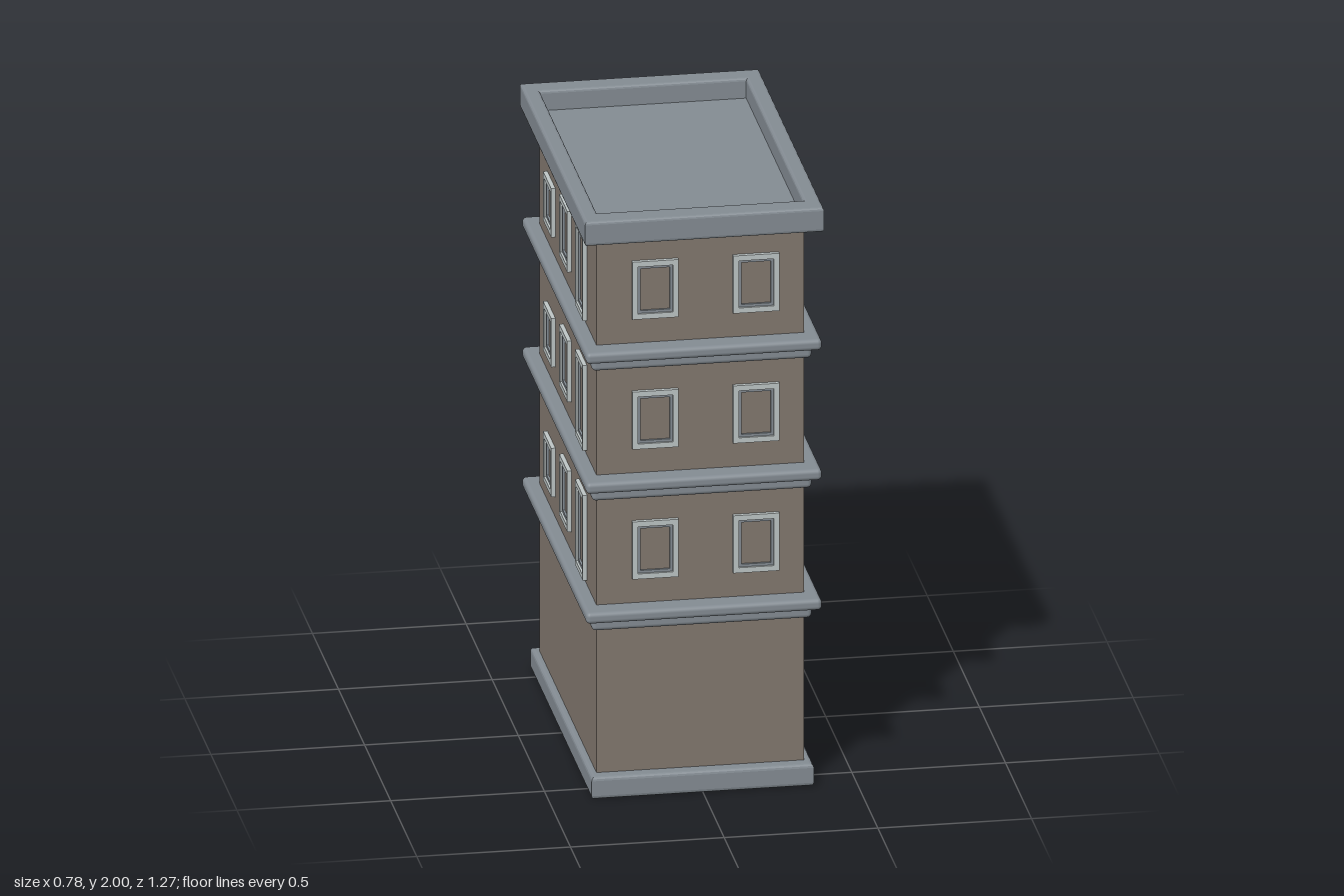
import * as THREE from 'three';
import { RoundedBoxGeometry } from 'three/addons/geometries/RoundedBoxGeometry.js';

const material = (name, color) => {
  const m = new THREE.MeshStandardMaterial({ color });
  m.name = name;
  return m;
};

export function createModel() {
  const wall = material('brown wall', 0x81776e);
  const trim = material('blue grey stone', 0x838b92);
  const frame = material('pale frame', 0xbcc4c4);
  const doorPaint = material('door brown', 0x766b62);
  const knobPaint = material('dark knob', 0x4f4038);

  const model = new THREE.Group();
  model.name = 'building';

  const add = (parent, name, geometry, mat) => {
    const mesh = new THREE.Mesh(geometry, mat);
    mesh.name = name;
    parent.add(mesh);
    return mesh;
  };
  // Box given by its lower and upper bounds, optionally with rounded edges
  const box = (parent, name, mat, x0, x1, y0, y1, z0, z1, r = 0) => {
    const size = [x1 - x0, y1 - y0, z1 - z0];
    const g = r ? new RoundedBoxGeometry(...size, 3, r) : new THREE.BoxGeometry(...size);
    return add(parent, name, g.translate((x0 + x1) / 2, (y0 + y1) / 2, (z0 + z1) / 2), mat);
  };
  const rectangle = (Type, x0, x1, y0, y1) =>
    new Type([[x0, y0], [x1, y0], [x1, y1], [x0, y1]].map((p) => new THREE.Vector2(...p)));
  // Horizontal slab from a plan drawn in x and -z
  const slab = (shape, y0, y1, b) =>
    new THREE.ExtrudeGeometry(shape, {
      depth: y1 - y0 - 2 * b, bevelThickness: b, bevelSize: b, bevelOffset: -b, bevelSegments: 3,
    }).rotateX(-Math.PI / 2).translate(0, y0 + b, 0);

  box(model, 'walls', wall, -0.34, 0.335, 0.01, 1.925, -0.535, 0.555);

  // Plinth, with a notch for the doorway at the back
  const plan = new THREE.Shape([
    [-0.363, -0.6], [0.36, -0.6], [0.36, 0.575], [0.13, 0.575], [0.13, 0.525],
    [-0.12, 0.525], [-0.12, 0.575], [-0.363, 0.575],
  ].map((p) => new THREE.Vector2(...p)));
  add(model, 'plinth', slab(plan, 0, 0.075, 0.012), trim);

  // Two-step ledges between floors
  const floors = [0, 0.447, 0.894];
  for (const dy of floors) {
    box(model, 'lowerLedge', trim, -0.36, 0.355, 0.575 + dy, 0.62 + dy, -0.573, 0.592, 0.014);
    box(model, 'upperLedge', trim, -0.385, 0.382, 0.614 + dy, 0.652 + dy, -0.61, 0.63, 0.014);
  }

  // Flat roof inside a raised rim
  const rim = rectangle(THREE.Shape, -0.39, 0.388, -0.632, 0.62);
  rim.holes.push(rectangle(THREE.Path, -0.337, 0.333, -0.55, 0.54));
  add(model, 'roofRim', slab(rim, 1.917, 2, 0.01), trim);
  box(model, 'roofDeck', trim, -0.345, 0.342, 1.919, 1.932, -0.55, 0.56);

  // Window frame, in a plane facing +z, with optional bars and header
  const makeWindow = (parent, { x, y0, y1, w, d = 0.014, t = 0.018, uprights = [], rails = [], header = 0 }) => {
    const g = new THREE.Group();
    g.name = 'window';
    parent.add(g);
    const a = x - w / 2, b = x + w / 2;
    const outline = rectangle(THREE.Shape, a, b, y0, y1);
    outline.holes.push(rectangle(THREE.Path, a + t, b - t, y0 + t, y1 - t));
    add(g, 'windowFrame', new THREE.ExtrudeGeometry(outline, { depth: d, bevelEnabled: false }), frame);
    // Thin inner sash
    const s = t + 0.009;
    const sash = rectangle(THREE.Shape, a + t, b - t, y0 + t, y1 - t);
    sash.holes.push(rectangle(THREE.Path, a + s, b - s, y0 + s, y1 - s));
    add(g, 'windowSash', new THREE.ExtrudeGeometry(sash, { depth: d * 0.5, bevelEnabled: false }), trim);
    for (const u of uprights) box(g, 'mullion', frame, x + u - 0.006, x + u + 0.006, y0 + t, y1 - t, 0, d * 0.8);
    for (const r of rails) box(g, 'glazingBar', frame, a + t, b - t, r - 0.005, r + 0.005, 0, d * 0.7);
    if (header) box(g, 'windowHeader', frame, a - 0.012, b + 0.012, y1 - 0.006, y1 + header, 0, d + 0.01);
  };
  const side = (name, px, pz, angle) => {
    const g = new THREE.Group();
    g.name = name;
    g.position.set(px, 0, pz);
    g.rotation.y = angle;
    model.add(g);
    return g;
  };
  const front = side('frontWindows', 0, 0.555, 0);
  const back = side('backWindows', 0, -0.535, Math.PI);
  const left = side('leftWindows', 0.335, 0, Math.PI / 2);
  const right = side('rightWindows', -0.34, 0, -Math.PI / 2);

  for (const dy of floors) {
    const y0 = 0.737 + dy, y1 = 0.935 + dy;
    for (const x of [-0.15, 0.178]) {
      makeWindow(front, { x, y0, y1, w: 0.15 });
      makeWindow(back, { x: -x, y0, y1, w: 0.15 });
    }
    // Wide three-pane window between two small cross-barred ones
    makeWindow(left, { x: -0.01, y0: 0.712 + dy, y1: 0.95 + dy, w: 0.285, d: 0.024, uprights: [-0.042, 0.042], header: 0.016 });
    for (const x of [-0.246, 0.228]) {
      makeWindow(left, { x, y0: 0.735 + dy, y1: 0.912 + dy, w: 0.122, d: 0.02, uprights: [0], rails: [0.822 + dy], header: 0.012 });
    }
    // Three windows of growing height
    makeWindow(right, { x: -0.308, y0: 0.722 + dy, y1: 0.89 + dy, w: 0.155 });
    makeWindow(right, { x: 0, y0: 0.72 + dy, y1: 0.93 + dy, w: 0.155 });
    makeWindow(right, { x: 0.3, y0: 0.667 + dy, y1: 0.96 + dy, w: 0.15 });
  }

  // Back doorway with posts, transom and canopy
  const doorway = new THREE.Group();
  doorway.name = 'doorway';
  model.add(doorway);
  box(doorway, 'door', doorPaint, -0.07, 0.08, 0.01, 0.425, -0.542, -0.534);
  for (const x of [-0.085, 0.095]) {
    box(doorway, 'doorPost', frame, x - 0.02, x + 0.02, 0.005, 0.485, -0.573, -0.53);
  }
  box(doorway, 'transom', frame, -0.07, 0.08, 0.415, 0.435, -0.555, -0.53);
  box(doorway, 'canopy', frame, -0.12, 0.13, 0.482, 0.52, -0.635, -0.53);
  add(doorway, 'doorKnob', new THREE.SphereGeometry(0.013, 16, 12).translate(-0.035, 0.175, -0.562), knobPaint);
  add(doorway, 'knobStem', new THREE.CylinderGeometry(0.005, 0.005, 0.03, 10)
    .rotateX(Math.PI / 2).translate(-0.035, 0.175, -0.55), knobPaint);

  return model;
}
